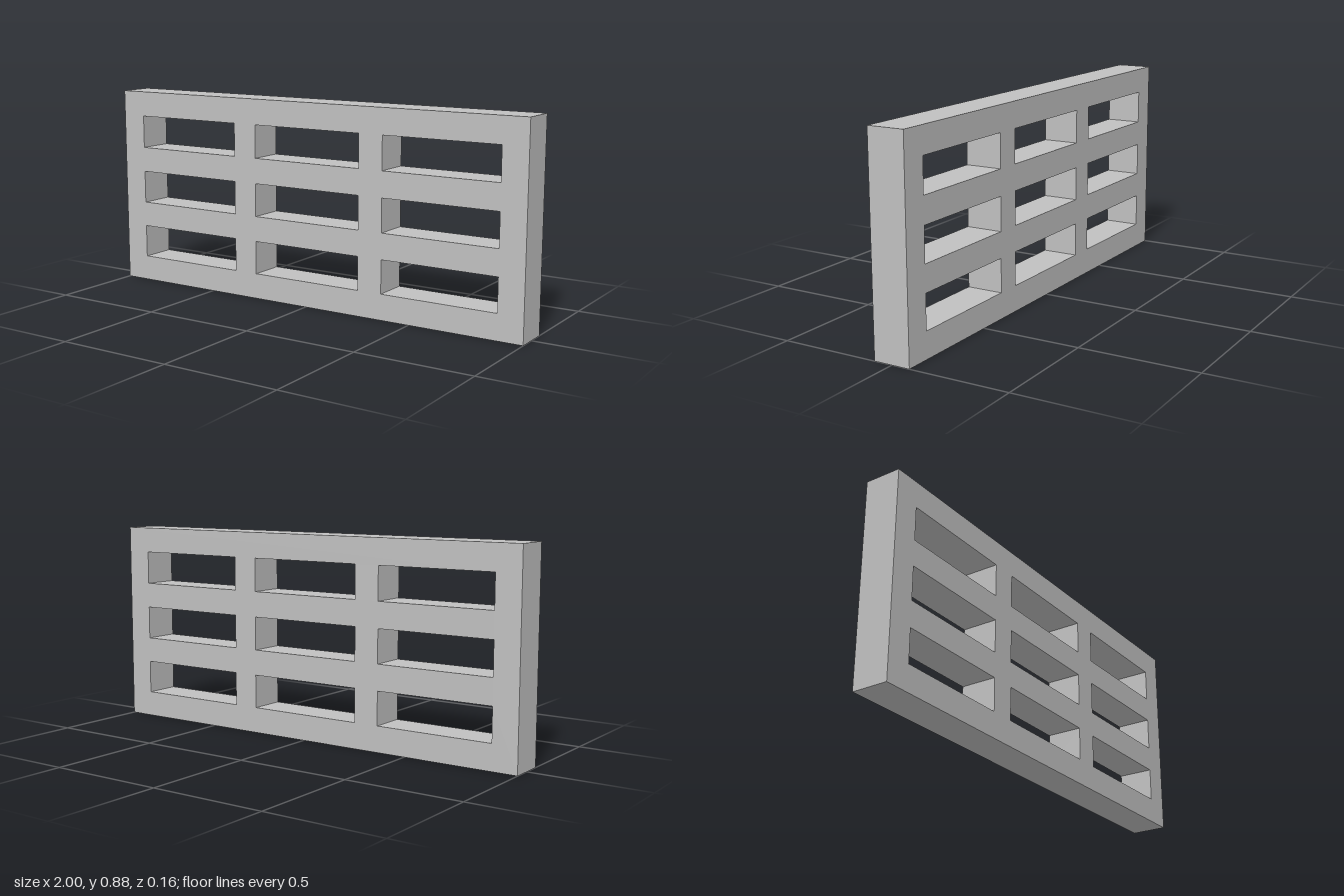
import * as THREE from 'three';

const WIDTH = 2, HEIGHT = 0.877, DEPTH = 0.157;
const COLUMNS = 3, ROWS = 3, BAR = 0.111;

// Adds a rectangle outline to a shape or hole path
function rectangle(path, x, y, w, h) {
  path.moveTo(x, y);
  path.lineTo(x + w, y);
  path.lineTo(x + w, y + h);
  path.lineTo(x, y + h);
  path.closePath();
  return path;
}

export function createModel() {
  const group = new THREE.Group();
  group.name = 'ventilationBlock';

  const concrete = new THREE.MeshStandardMaterial({ color: 0xc0c0c0 });
  concrete.name = 'concrete grey';

  // Slab outline with an even grid of through openings
  const outline = rectangle(new THREE.Shape(), -WIDTH / 2, 0, WIDTH, HEIGHT);
  const holeW = (WIDTH - BAR * (COLUMNS + 1)) / COLUMNS;
  const holeH = (HEIGHT - BAR * (ROWS + 1)) / ROWS;
  for (let c = 0; c < COLUMNS; c++) {
    for (let r = 0; r < ROWS; r++) {
      const x = -WIDTH / 2 + BAR + c * (holeW + BAR);
      const y = BAR + r * (holeH + BAR);
      outline.holes.push(rectangle(new THREE.Path(), x, y, holeW, holeH));
    }
  }

  const geometry = new THREE.ExtrudeGeometry(outline, { depth: DEPTH, bevelEnabled: false });
  geometry.translate(0, 0, -DEPTH / 2);

  const grille = new THREE.Mesh(geometry, concrete);
  grille.name = 'grille';
  group.add(grille);
  return group;
}
